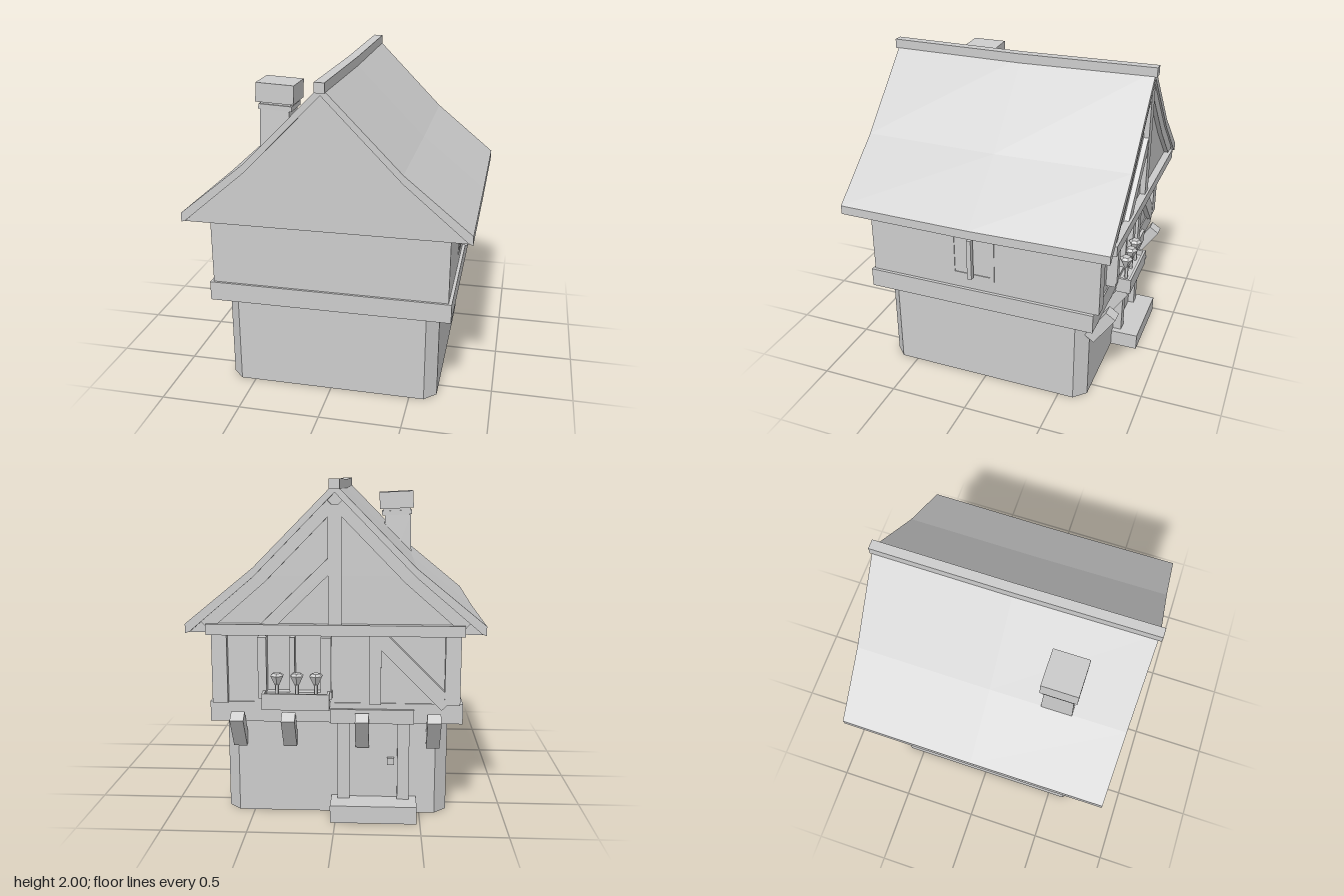
import * as THREE from 'three';

export function createModel() {
  const house = new THREE.Group();
  house.name = 'timberHouse';
  const grey = new THREE.MeshStandardMaterial({ color: 0xcccccc, side: THREE.DoubleSide });
  grey.name = 'plain grey';
  grey.flatShading = true;

  const add = (name, geo, parent = house) => {
    const m = new THREE.Mesh(geo, grey);
    m.name = name;
    parent.add(m);
    return m;
  };
  // Box given by its limits on each axis
  const block = (name, x0, x1, y0, y1, z0, z1, parent) => {
    const m = add(name, new THREE.BoxGeometry(x1 - x0, y1 - y0, z1 - z0), parent);
    m.position.set((x0 + x1) / 2, (y0 + y1) / 2, (z0 + z1) / 2);
    return m;
  };
  // Timber lying against the back wall between two (x, y) points
  const timber = (name, ax, ay, bx, by, width, z0, z1) => {
    const m = add(name, new THREE.BoxGeometry(width, Math.hypot(bx - ax, by - ay), z1 - z0));
    m.position.set((ax + bx) / 2, (ay + by) / 2, (z0 + z1) / 2);
    m.rotation.z = -Math.atan2(bx - ax, by - ay);
    return m;
  };
  const points = (list) => list.map(([x, y]) => new THREE.Vector2(x, y));
  const sag = (geo, amount, half) => {
    const p = geo.attributes.position;
    for (let i = 0; i < p.count; i++) {
      p.setY(i, p.getY(i) - amount * Math.max(0, 1 - Math.abs(p.getZ(i)) / half));
    }
    geo.computeVertexNormals();
    return geo;
  };

  // Ground floor: open shell with cut corners
  const octagon = (w, d, c) => points([
    [w, d - c], [w - c, d], [c - w, d], [-w, d - c],
    [-w, c - d], [c - w, -d], [w - c, -d], [w, c - d]]);
  const plan = new THREE.Shape(octagon(0.665, 0.675, 0.073));
  plan.holes.push(new THREE.Path(octagon(0.66, 0.67, 0.072)));
  const ground = add('groundFloorWalls', new THREE.ExtrudeGeometry(plan, { depth: 0.585, bevelEnabled: false }));
  ground.rotation.x = -Math.PI / 2;
  ground.position.z = 0.005;

  // Jettied upper floor
  block('floorBand', -0.745, 0.745, 0.58, 0.7, -0.728, 0.742);
  block('upperWalls', -0.725, 0.725, 0.7, 1.135, -0.72, 0.727);

  // Gable and attic body, set just inside the roof edges
  const attic = new THREE.Shape(points([[-0.84, 1.13], [0.84, 1.13], [0.46, 1.46], [0, 1.925], [-0.46, 1.46]]));
  add('gableBody', new THREE.ExtrudeGeometry(attic, { depth: 1.63, bevelEnabled: false }))
    .position.z = -0.8;

  // Two-pitch roof, sagging a little in the middle
  const roof = new THREE.Shape(points([
    [0.855, 1.185], [0.46, 1.508], [0, 1.975], [-0.46, 1.508], [-0.855, 1.185],
    [-0.855, 1.13], [-0.83, 1.14], [-0.46, 1.455], [0, 1.925],
    [0.46, 1.455], [0.83, 1.14], [0.855, 1.13]]));
  const roofGeo = new THREE.ExtrudeGeometry(roof, { depth: 1.688, steps: 2, bevelEnabled: false });
  roofGeo.translate(0, 0, -0.844);
  add('roof', sag(roofGeo, 0.01, 0.844)).position.z = 0.004;
  const ridge = new THREE.BoxGeometry(0.06, 0.058, 1.72, 1, 1, 2);
  add('ridgeCap', sag(ridge, 0.008, 0.86)).position.set(0, 1.971, 0.007);

  // Chimney with collar and crooked cap
  const shaft = add('chimneyShaft', new THREE.CylinderGeometry(0.125, 0.146, 0.5, 4, 1));
  shaft.geometry.rotateY(Math.PI / 4);
  shaft.position.set(-0.368, 1.5, 0.42);
  const slab = (name, w, h, d, x, y, tilt) => {
    const m = add(name, new THREE.BoxGeometry(w, h, d));
    m.position.set(x, y, 0.42);
    m.rotation.z = tilt;
  };
  slab('chimneyCollar', 0.205, 0.03, 0.19, -0.362, 1.763, -0.05);
  slab('chimneyNeck', 0.185, 0.05, 0.17, -0.361, 1.785, -0.05);
  slab('chimneyCap', 0.232, 0.115, 0.22, -0.358, 1.85, -0.05);

  // Side window on the left wall
  const side = new THREE.Group();
  side.name = 'sideWindow';
  house.add(side);
  for (const [y0, y1, z0, z1] of [[0.78, 0.805, -0.1, 0.185], [1.05, 1.075, -0.1, 0.185],
    [0.805, 1.05, -0.1, -0.075], [0.805, 1.05, 0.16, 0.185]]) {
    block('sideWindowFrame', 0.722, 0.73, y0, y1, z0, z1, side);
  }
  block('sideWindowMullion', 0.742, 0.775, 0.795, 1.06, 0.03, 0.058, side);

  // Timber frame on the back gable
  block('tieBeam', -0.737, 0.737, 1.122, 1.185, -0.846, -0.79);
  block('kingPost', -0.038, 0.038, 1.18, 1.86, -0.833, -0.79);
  for (const s of [-1, 1]) {
    timber('lowerRafter', s * 0.74, 1.17, s * 0.42, 1.45, 0.07, -0.828, -0.79);
    timber('upperRafter', s * 0.43, 1.44, s * 0.02, 1.86, 0.07, -0.828, -0.79);
  }
  timber('gableStrut', 0.42, 1.14, 0.01, 1.54, 0.07, -0.83, -0.79);

  // Timber frame on the back wall
  for (const s of [-1, 1]) {
    block('cornerPost', s * 0.68 - 0.045, s * 0.68 + 0.045, 0.7, 1.13, -0.757, -0.71);
  }
  block('middlePost', -0.265, -0.195, 0.7, 1.13, -0.757, -0.71);
  timber('wallBrace', -0.25, 1.1, -0.65, 0.7, 0.09, -0.755, -0.71);

  // Back window with mullion
  block('windowPane', 0.05, 0.44, 0.77, 1.1, -0.725, -0.715);
  for (const [x, w] of [[0.425, 0.05], [0.25, 0.03], [0.055, 0.06]]) {
    block('windowBar', x - w / 2, x + w / 2, 0.76, 1.1, -0.787, -0.715);
  }
  block('windowSill', 0.02, 0.45, 0.735, 0.775, -0.78, -0.715);

  // Flower box: open tray with three flowers
  block('boxBase', 0.03, 0.42, 0.69, 0.75, -0.86, -0.775);
  block('boxFront', 0.03, 0.42, 0.69, 0.785, -0.865, -0.85);
  for (const x of [0.03, 0.405]) block('boxEnd', x, x + 0.015, 0.69, 0.785, -0.86, -0.775);
  for (const x of [0.11, 0.22, 0.335]) {
    add('flowerStem', new THREE.CylinderGeometry(0.012, 0.012, 0.1, 5)).position.set(x, 0.795, -0.815);
    add('flowerHead', new THREE.CylinderGeometry(0.042, 0.012, 0.06, 6)).position.set(x, 0.852, -0.81);
    add('flowerTop', new THREE.CylinderGeometry(0.025, 0.042, 0.014, 6)).position.set(x, 0.889, -0.81);
  }

  // Slanted brackets under the overhang
  for (const x of [0.575, 0.275, -0.155, -0.575]) {
    const bracket = add('bracket', new THREE.BoxGeometry(0.08, 0.23, 0.072));
    bracket.position.set(x, 0.535, -0.737);
    bracket.rotation.x = -0.59;
  }

  // Door, frame and step
  block('door', -0.37, -0.06, 0.1, 0.6, -0.685, -0.66);
  for (const x of [-0.045, -0.4]) block('doorPost', x - 0.035, x + 0.035, 0.1, 0.6, -0.725, -0.66);
  block('doorLintel', -0.46, 0.03, 0.58, 0.665, -0.748, -0.66);
  block('doorKnobStem', -0.335, -0.315, 0.33, 0.35, -0.705, -0.68);
  block('doorKnob', -0.345, -0.305, 0.32, 0.36, -0.724, -0.7);
  block('doorStep', -0.48, 0.03, 0, 0.105, -0.847, -0.665);

  return house;
}
